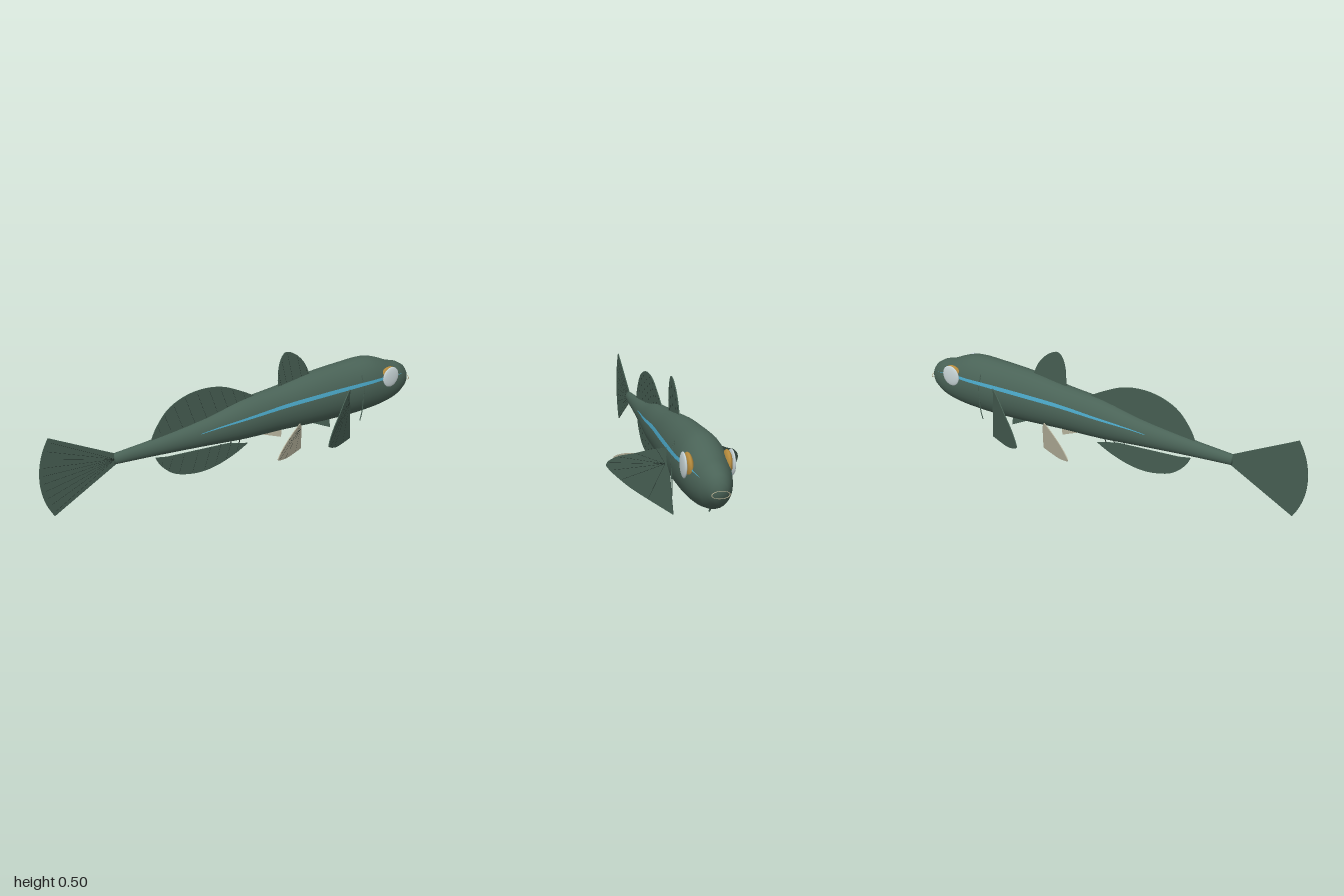
import * as THREE from 'three';

const mat = (name, color, side = THREE.FrontSide) => {
  const m = new THREE.MeshStandardMaterial({ color, side });
  m.name = name;
  return m;
};

// Body stations: x, centre height, half height, half width
const STATIONS = [
  [-0.66, 0.22, 0.025, 0.019], [-0.45, 0.219, 0.04, 0.031], [-0.2, 0.222, 0.066, 0.05],
  [0, 0.232, 0.096, 0.069], [0.2, 0.236, 0.11, 0.078], [0.4, 0.241, 0.13, 0.091],
  [0.6, 0.241, 0.139, 0.1], [0.72, 0.242, 0.138, 0.101], [0.8, 0.233, 0.124, 0.095],
  [0.87, 0.223, 0.103, 0.083], [0.93, 0.223, 0.085, 0.065], [0.968, 0.223, 0.061, 0.047],
  [0.986, 0.222, 0.038, 0.03], [0.992, 0.221, 0.012, 0.01],
];

// Smooth section at a given x (cubic Hermite between stations)
function sectionAt(x) {
  const S = STATIONS, last = S.length - 1;
  let i = 0;
  while (i < last - 1 && x > S[i + 1][0]) i++;
  const h = S[i + 1][0] - S[i][0], t = (x - S[i][0]) / h;
  const slope = (k, c) => {
    const a = S[Math.max(k - 1, 0)], b = S[Math.min(k + 1, last)];
    return (b[c] - a[c]) / (b[0] - a[0]);
  };
  return [1, 2, 3].map((c) => {
    const t2 = t * t, t3 = t2 * t;
    return (2 * t3 - 3 * t2 + 1) * S[i][c] + (t3 - 2 * t2 + t) * h * slope(i, c)
      + (3 * t2 - 2 * t3) * S[i + 1][c] + (t3 - t2) * h * slope(i + 1, c);
  });
}

function bodyGeometry(sides = 28) {
  const xs = [];
  STATIONS.forEach((s, i) => {
    xs.push(s[0]);
    if (i < 10) for (let k = 1; k < 3; k++) xs.push(s[0] + (STATIONS[i + 1][0] - s[0]) * k / 3);
  });
  const pos = [], idx = [];
  for (const x of xs) {
    const [cy, hh, hw] = sectionAt(x);
    for (let j = 0; j < sides; j++) {
      const a = j / sides * Math.PI * 2;
      pos.push(x, cy + hh * Math.cos(a), hw * Math.sin(a));
    }
  }
  for (let i = 0; i < xs.length - 1; i++) for (let j = 0; j < sides; j++) {
    const a = i * sides + j, b = i * sides + (j + 1) % sides;
    idx.push(a, b, a + sides, b, b + sides, a + sides);
  }
  // End caps
  const end = (xs.length - 1) * sides, n = pos.length / 3;
  pos.push(xs[0], 0.22, 0, xs[xs.length - 1], 0.221, 0);
  for (let j = 0; j < sides; j++) {
    const k = (j + 1) % sides;
    idx.push(n, k, j, n + 1, end + j, end + k);
  }
  const g = new THREE.BufferGeometry();
  g.setAttribute('position', new THREE.Float32BufferAttribute(pos, 3));
  g.setIndex(idx);
  g.computeVertexNormals();
  return g;
}

// Tapered ribbon lying on the flank
function stripeGeometry(side, x0, x1, line, width) {
  const pos = [], idx = [], n = 40;
  for (let i = 0; i <= n; i++) {
    const t = i / n, x = x0 + (x1 - x0) * t, [cy, hh, hw] = sectionAt(x);
    for (const d of [-1, 0, 1]) {
      const y = line(x) + d * width(t);
      pos.push(x, y, side * (hw * Math.sqrt(Math.max(0, 1 - ((y - cy) / hh) ** 2)) + 0.002));
    }
    if (i < n) for (const k of [0, 1]) {
      const a = i * 3 + k;
      if (side > 0) idx.push(a, a + 3, a + 1, a + 1, a + 3, a + 4);
      else idx.push(a, a + 1, a + 3, a + 1, a + 4, a + 3);
    }
  }
  const g = new THREE.BufferGeometry();
  g.setAttribute('position', new THREE.Float32BufferAttribute(pos, 3));
  g.setIndex(idx);
  g.computeVertexNormals();
  return g;
}

const vecs = (pts) => pts.map(([x, y]) => new THREE.Vector2(x, y));

export function createModel() {
  const model = new THREE.Group();
  const skin = mat('bodyGreen', 0x4a6357);
  const finGreen = mat('finGreen', 0x465e52);
  const dark = mat('rayDark', 0x1f2b26);
  const cream = mat('pelvicCream', 0xb3b09a);
  const blue = mat('stripeBlue', 0x4aa6c6, THREE.DoubleSide);
  const gold = mat('eyeGold', 0xb58a3c);
  const white = mat('eyeWhite', 0xc9d6d8);
  const lip = mat('lipCream', 0xb9b193);

  const add = (parent, name, geo, m) => {
    const mesh = new THREE.Mesh(geo, m);
    mesh.name = name;
    parent.add(mesh);
    return mesh;
  };

  // Thin fin: curved outer edge, straight or curved base, plus slender rays
  function fin(name, edge, base, rays, m) {
    const g = new THREE.Group();
    g.name = name;
    const outline = [...new THREE.SplineCurve(vecs(edge)).getPoints(32), ...vecs(base)];
    const geo = new THREE.ExtrudeGeometry(new THREE.Shape(outline), { depth: 0.004, bevelEnabled: false });
    add(g, name + 'Web', geo.translate(0, 0, -0.002), m);
    for (const [a, b] of rays) {
      const p = new THREE.Vector3(...a, 0), q = new THREE.Vector3(...b, 0);
      add(g, name + 'Ray', new THREE.TubeGeometry(new THREE.LineCurve3(p, q), 1, 0.0024, 5), dark);
    }
    model.add(g);
    return g;
  }
  // Rays spreading from a root towards points along the edge
  const fan = (root, edge, count, reach = 0.95) => {
    const c = new THREE.SplineCurve(vecs(edge)), r = new THREE.Vector2(...root);
    return Array.from({ length: count }, (_, i) => {
      const p = c.getPoint((i + 0.5) / count).sub(r).multiplyScalar(reach).add(r);
      return [root, [p.x, p.y]];
    });
  };
  // Rays standing side by side, each leaning back from the body
  const comb = (edge, count, baseY, lean) => {
    const c = new THREE.SplineCurve(vecs(edge));
    return Array.from({ length: count }, (_, i) => {
      const p = c.getPoint(0.16 + 0.7 * i / (count - 1));
      const dy = baseY - p.y;
      return [[p.x + Math.abs(dy) * lean, baseY], [p.x + Math.abs(dy) * lean * 0.08, p.y + dy * 0.08]];
    });
  };

  add(model, 'body', bodyGeometry(), skin);

  // Tail fin
  const tailRoot = [-0.655, 0.218];
  const tail = Array.from({ length: 9 }, (_, i) => {
    const a = Math.PI + (i / 8 - 0.5) * 1.12;
    return [-0.66 + 0.34 * Math.cos(a), 0.217 + 0.34 * Math.sin(a)];
  });
  fin('tailFin', tail, [[-0.64, 0.2], [-0.64, 0.237]], fan(tailRoot, tail, 10), finGreen);

  // Dorsal fins
  const front = [[0.2, 0.33], [0.2, 0.42], [0.215, 0.48], [0.245, 0.506], [0.3, 0.482], [0.35, 0.43], [0.385, 0.36]];
  fin('frontDorsalFin', front, [[0.385, 0.34]], comb(front, 5, 0.34, 0.25), finGreen);
  const rear = [[-0.48, 0.25], [-0.45, 0.31], [-0.39, 0.38], [-0.3, 0.422], [-0.2, 0.433], [-0.1, 0.416], [0, 0.37], [0.07, 0.33]];
  fin('rearDorsalFin', rear, [[0.07, 0.3], [-0.2, 0.27]], comb(rear, 9, 0.28, 0.35), finGreen);

  // Anal fin
  const anal = [[-0.46, 0.167], [-0.43, 0.115], [-0.36, 0.058], [-0.25, 0.03], [-0.15, 0.035], [-0.05, 0.064], [0.03, 0.102]];
  fin('analFin', anal, [[-0.08, 0.131], [-0.25, 0.144], [-0.4, 0.155]], comb(anal, 8, 0.138, 0.35), finGreen);

  // Paired fins: outlines measured from the root, swung out from the flank
  const pectoral = [[0.01, 0.07], [-0.07, 0.043], [-0.14, 0.012], [-0.21, -0.015], [-0.258, -0.045], [-0.275, -0.072],
    [-0.25, -0.095], [-0.21, -0.118], [-0.14, -0.15], [0.035, -0.206]];
  const pelvic = [[0, 0.03], [-0.08, 0.018], [-0.17, -0.005], [-0.225, -0.035], [-0.19, -0.057], [-0.12, -0.08], [0.01, -0.106]];
  const pair = (name, side, edge, rays, m, root, angle) => {
    const g = fin(name, edge, [[0.015, 0]], fan([0, 0], edge, rays), m);
    g.scale.x = 1 / Math.cos(angle);
    g.rotation.y = side * angle;
    g.position.set(root[0], root[1], side * root[2]);
  };

  for (const side of [1, -1]) {
    const s = side > 0 ? 'right' : 'left';
    pair(s + 'PectoralFin', side, pectoral, 7, finGreen, [0.55, 0.21, 0.1], 0.61);
    pair(s + 'PelvicFin', side, pelvic, 6, cream, [0.27, 0.14, 0.083], 0.54);

    // Eye: gold rim behind a pale lens
    const rim = add(model, s + 'EyeRim', new THREE.SphereGeometry(1, 28, 18), gold);
    rim.scale.set(0.052, 0.054, 0.018);
    rim.position.set(0.815, 0.276, side * 0.075);
    rim.rotation.x = side * 0.06;
    const lens = add(model, s + 'EyeLens', new THREE.SphereGeometry(1, 28, 18), white);
    lens.scale.set(0.049, 0.051, 0.009);
    lens.position.set(0.815, 0.281, side * 0.095);

    // Flank stripe, and its short run ahead of the eye
    const line = (x) => 0.263 + 0.07 * x - 0.058 * x * x;
    add(model, s + 'Stripe', stripeGeometry(side, -0.25, 0.8, line,
      (t) => 0.001 + 0.0085 * Math.sin(Math.PI * Math.min(1, t * 0.8))), blue);
    add(model, s + 'SnoutStripe', stripeGeometry(side, 0.85, 0.93, (x) => 0.277 - (x - 0.85) * 0.2,
      (t) => 0.003 * (1 - t)), blue);

    // Gill line
    const gill = new THREE.CatmullRomCurve3([[0.635, 0.33, 0.084], [0.641, 0.27, 0.098], [0.642, 0.2, 0.097],
      [0.64, 0.14, 0.095], [0.63, 0.095, 0.094]].map(([x, y, z]) => new THREE.Vector3(x, y, side * z)));
    add(model, s + 'GillLine', new THREE.TubeGeometry(gill, 20, 0.0025, 6), skin);
  }

  // Mouth ring
  const mouth = add(model, 'mouth', new THREE.TorusGeometry(0.035, 0.002, 8, 36), lip);
  mouth.rotation.y = Math.PI / 2;
  mouth.scale.y = 0.42;
  mouth.position.set(0.995, 0.212, 0);

  return model;
}
